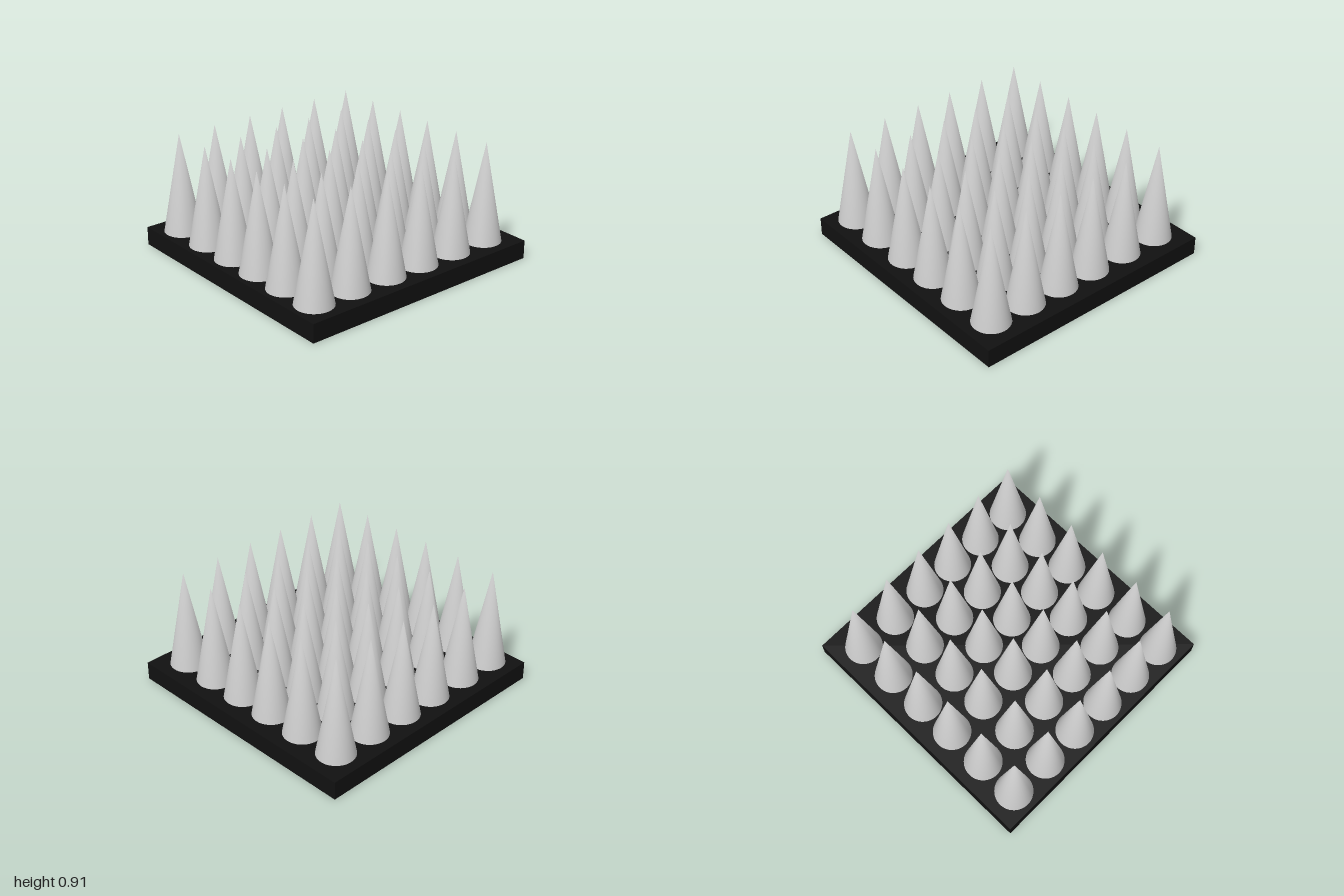
import * as THREE from 'three';

const BASE_TOP = 0.142;
const TIP = 0.907;
const RADIUS = 0.143;
const COLUMNS = [-0.82, -0.505, -0.18, 0.127, 0.445, 0.77];
const ROWS = [-0.773, -0.445, -0.13, 0.17, 0.475, 0.78];

// Smooth cone whose shading rounds over at the tip
function spikeGeometry() {
  const height = TIP - BASE_TOP;
  const geo = new THREE.ConeGeometry(RADIUS, height, 48);
  const { position, normal } = geo.attributes;
  for (let i = 0; i < position.count; i++) {
    if (position.getY(i) > height * 0.49) normal.setXYZ(i, 0, 1, 0);
  }
  return geo.translate(0, height / 2, 0);
}

export function createModel() {
  const model = new THREE.Group();
  model.name = 'spikedPanel';

  // Dark square slab
  const base = new THREE.Mesh(
    new THREE.BoxGeometry(2, BASE_TOP, 1.985),
    new THREE.MeshStandardMaterial({ color: 0x111111 })
  );
  base.name = 'base';
  base.position.y = BASE_TOP / 2;
  model.add(base);

  // Slightly uneven grid of spikes
  const spikes = new THREE.Group();
  spikes.name = 'spikes';
  const geo = spikeGeometry();
  const grey = new THREE.MeshStandardMaterial({ color: 0xcccccc });
  for (const z of ROWS) {
    for (const x of COLUMNS) {
      const spike = new THREE.Mesh(geo, grey);
      spike.name = 'spike';
      spike.position.set(x, BASE_TOP, z);
      spikes.add(spike);
    }
  }
  model.add(spikes);

  return model;
}
